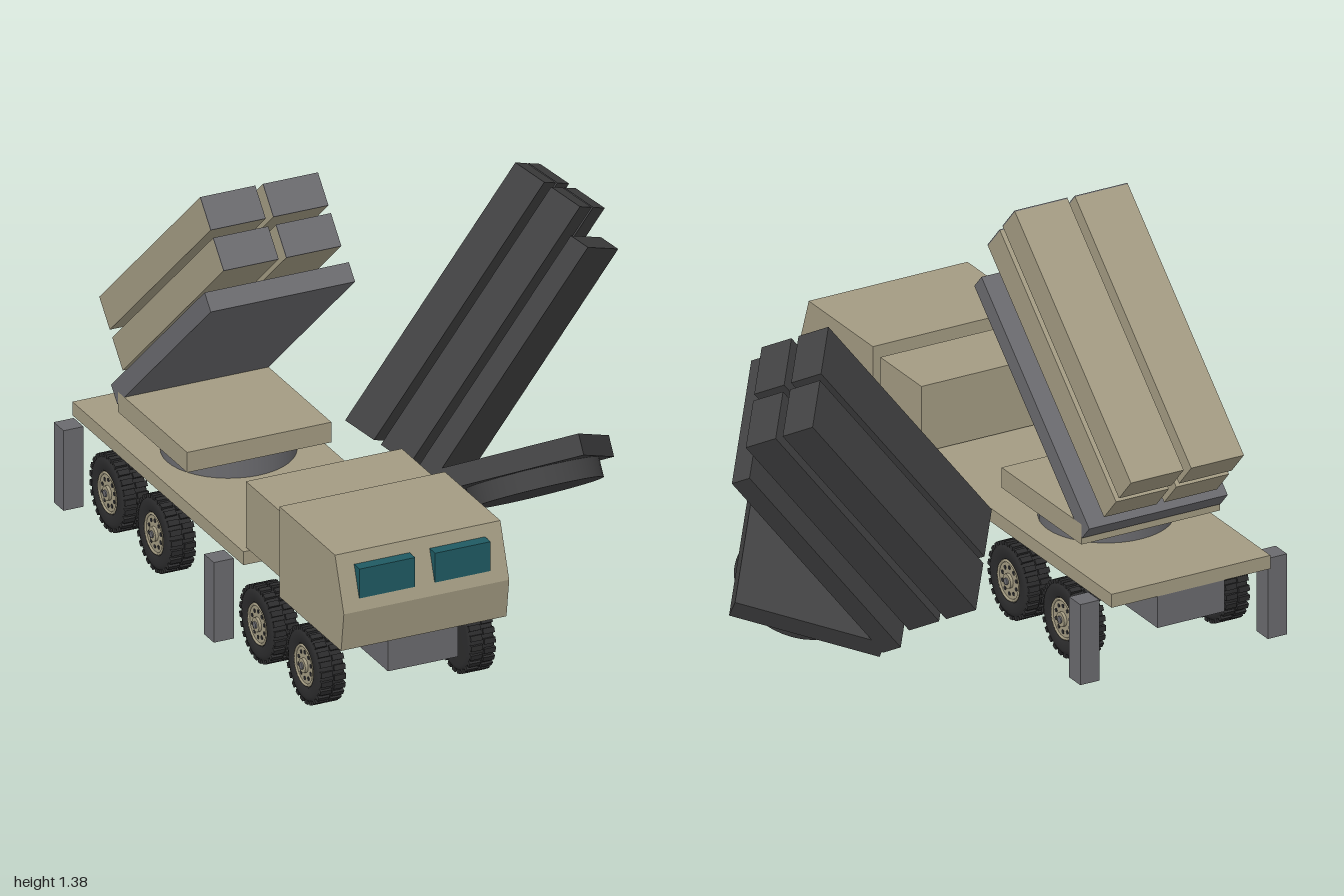
import * as THREE from 'three';

const mat = (name, color, side = THREE.FrontSide) => {
  const m = new THREE.MeshStandardMaterial({ color, side });
  m.name = name;
  return m;
};

export function createModel() {
  const sand = mat('sand paint', 0xa39b82);
  const grey = mat('frame grey', 0x6a6a6e);
  const dark = mat('dark grey', 0x414142);
  const rubber = mat('tyre rubber', 0x2c2c2d);
  const glass = mat('window teal', 0x1f5a62);

  const model = new THREE.Group();
  model.name = 'missileLauncherSet';

  const add = (parent, name, geo, material, x = 0, y = 0, z = 0) => {
    const mesh = new THREE.Mesh(geo, material);
    mesh.name = name;
    mesh.position.set(x, y, z);
    parent.add(mesh);
    return mesh;
  };
  // box given by its minimum and maximum corners
  const box = (parent, name, material, [x0, y0, z0], [x1, y1, z1]) =>
    add(parent, name, new THREE.BoxGeometry(x1 - x0, y1 - y0, z1 - z0), material,
      (x0 + x1) / 2, (y0 + y1) / 2, (z0 + z1) / 2);

  // ---- truck, centred on its own x = 0 ----
  const truck = new THREE.Group();
  truck.name = 'truck';
  truck.position.x = -0.507;
  model.add(truck);

  box(truck, 'chassis', grey, [-0.126, 0.174, -1], [0.126, 0.286, 0.973]);
  box(truck, 'bed', sand, [-0.298, 0.286, -1], [0.298, 0.334, 0.26]);
  box(truck, 'equipmentBox', sand, [-0.281, 0.34, 0.244], [0.281, 0.576, 0.507]);

  // cab: side profile extruded across the width
  const profile = new THREE.Shape([
    [0.526, 0.286], [0.98, 0.286], [1, 0.425], [0.935, 0.61], [0.526, 0.61],
  ].map(([z, y]) => new THREE.Vector2(-z, y)));
  const cabGeo = new THREE.ExtrudeGeometry(profile, { depth: 0.596, bevelEnabled: false });
  cabGeo.translate(0, 0, -0.298).rotateY(Math.PI / 2);
  add(truck, 'cab', cabGeo, sand);

  for (const s of [-1, 1]) {
    add(truck, 'windscreen', new THREE.BoxGeometry(0.2, 0.105, 0.05), glass, s * 0.136, 0.518, 0.965);
    for (const z of [0.19, -0.917])
      add(truck, 'outriggerLeg', new THREE.BoxGeometry(0.072, 0.287, 0.072), grey, s * 0.352, 0.156, z);
  }

  // ---- wheels: axis along x, outer side toward +x ----
  const tyreProfile = [
    [0.001, -0.045], [0.105, -0.047], [0.119, -0.043], [0.125, -0.034],
    [0.125, 0.034], [0.119, 0.043], [0.105, 0.047], [0.076, 0.046], [0.07, 0.034], [0.001, 0.034],
  ].map(([r, y]) => new THREE.Vector2(r, y));
  const tyreGeo = new THREE.LatheGeometry(tyreProfile, 32).rotateZ(-Math.PI / 2);
  const treadGeo = new THREE.BoxGeometry(0.041, 0.014, 0.019);
  const disc = (r, h, n = 24) => new THREE.CylinderGeometry(r, r, h, n).rotateZ(-Math.PI / 2);
  const rimGeo = disc(0.07, 0.006);
  const ringGeo = new THREE.TorusGeometry(0.067, 0.005, 6, 28).rotateY(Math.PI / 2);
  const hubGeo = disc(0.025, 0.014, 16);
  const capGeo = disc(0.012, 0.02, 12);
  const holeGeo = disc(0.0075, 0.004, 8);

  const makeWheel = () => {
    const wheel = new THREE.Group();
    wheel.name = 'wheel';
    add(wheel, 'tyre', tyreGeo, rubber);
    const blocks = 24;
    for (let i = 0; i < blocks * 2; i++) {
      const row = i % 2 ? 1 : -1;
      const a = (i / (blocks * 2)) * Math.PI * 2;
      const block = add(wheel, 'treadBlock', treadGeo, rubber,
        row * 0.0235, Math.cos(a) * 0.1255, Math.sin(a) * 0.1255);
      block.rotation.x = a;
    }
    add(wheel, 'rim', rimGeo, sand, 0.037);
    add(wheel, 'rimEdge', ringGeo, sand, 0.041);
    add(wheel, 'hub', hubGeo, sand, 0.043);
    add(wheel, 'hubCap', capGeo, grey, 0.045);
    for (let i = 0; i < 10; i++) {
      const a = (i / 10) * Math.PI * 2;
      add(wheel, 'rimHole', holeGeo, rubber, 0.0395, Math.cos(a) * 0.046, Math.sin(a) * 0.046);
    }
    return wheel;
  };
  for (const s of [-1, 1])
    for (const z of [0.737, 0.394, -0.367, -0.71]) {
      const wheel = makeWheel();
      wheel.position.set(s * 0.27, 0.134, z);
      if (s < 0) wheel.rotation.y = Math.PI;
      truck.add(wheel);
    }

  // ---- launcher: origin at the upper front edge of the canisters ----
  const makeLauncher = (name, body, frame) => {
    const launcher = new THREE.Group();
    launcher.name = name;
    add(launcher, 'turntable', new THREE.CylinderGeometry(0.222, 0.222, 0.07, 40), frame, 0, -1.009, -0.225);
    box(launcher, 'platform', body, [-0.26, -0.977, -0.509], [0.26, -0.905, 0.001]);

    const tilted = new THREE.Group();
    tilted.name = 'canisterPack';
    tilted.rotation.x = -THREE.MathUtils.degToRad(42.2);
    launcher.add(tilted);
    box(tilted, 'supportPlate', frame, [-0.26, -0.36, -1.02], [0.26, -0.292, -0.09]);
    for (const x of [-0.113, 0.113])
      for (const top of [0, -0.142]) {
        box(tilted, 'canister', body, [x - 0.099, top - 0.115, -1.005], [x + 0.099, top, -0.004]);
        box(tilted, 'canisterLid', frame, [x - 0.099, top - 0.115, -0.004], [x + 0.099, top, 0]);
      }
    return launcher;
  };

  const mounted = makeLauncher('mountedLauncher', sand, grey);
  mounted.position.set(0, 1.377, -0.233);
  truck.add(mounted);

  // spare launcher lying tipped over beside the truck
  const spare = makeLauncher('spareLauncher', dark, dark);
  const up = new THREE.Vector3(-0.006, 0.852, -0.522).normalize();
  const ahead = new THREE.Vector3(0.83, 0.293, 0.474).normalize();
  const across = new THREE.Vector3().crossVectors(up, ahead).normalize();
  ahead.crossVectors(across, up);
  spare.quaternion.setFromRotationMatrix(new THREE.Matrix4().makeBasis(across, up, ahead));
  spare.position.set(0.598, 1.104, -0.513);
  model.add(spare);

  return model;
}
